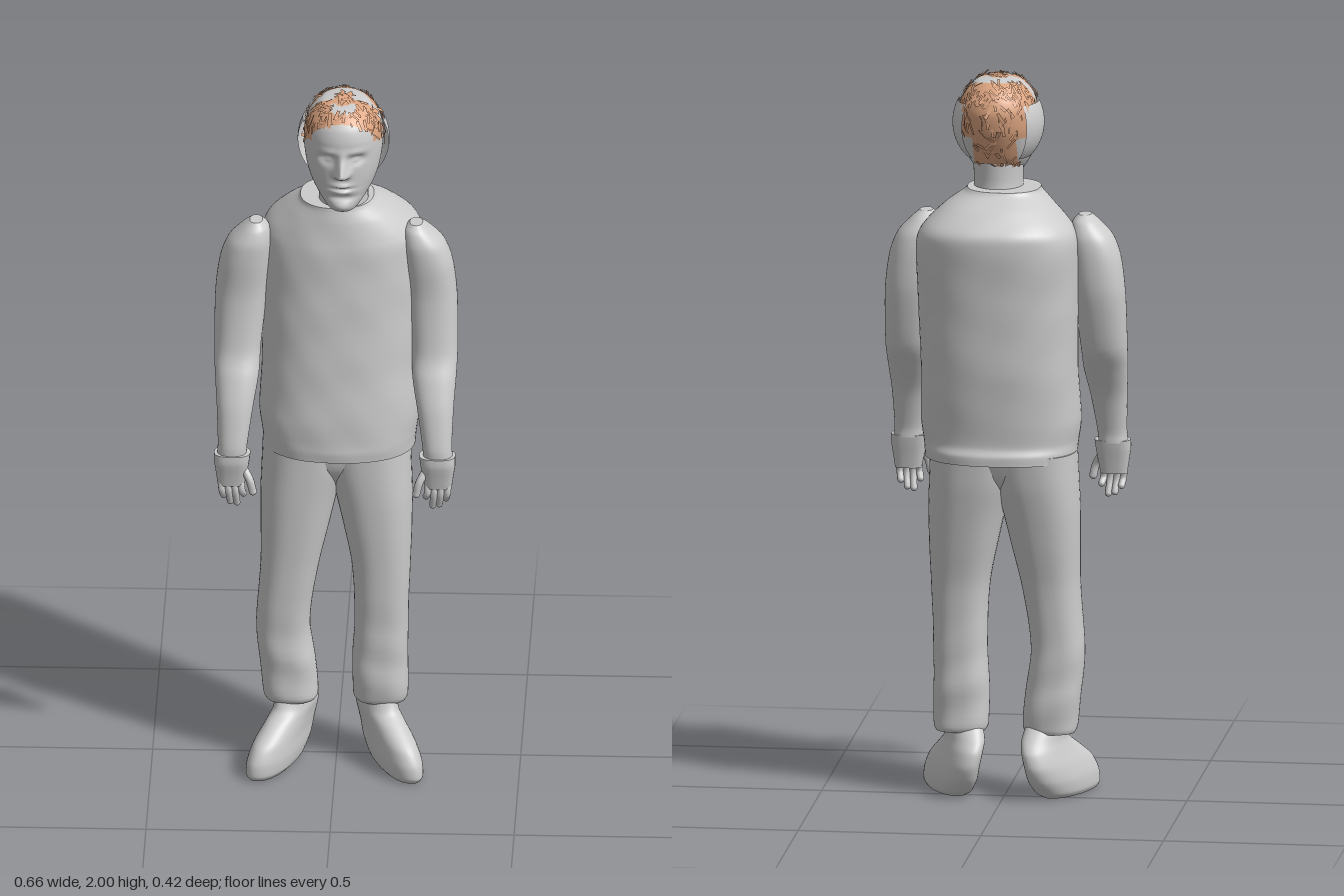
import * as THREE from 'three';
import { mergeGeometries } from 'three/addons/utils/BufferGeometryUtils.js';

// Smooth closed loft through rows of [y, xMin, xMax, zMin, zMax], bottom to top
function loft(rows, { steps = 40, sides = 48, power = 2, deform } = {}) {
  const xs = new THREE.CatmullRomCurve3(rows.map(r => new THREE.Vector3(r[1], r[0], r[2])), false, 'catmullrom', 0.4);
  const zs = new THREE.CatmullRomCurve3(rows.map(r => new THREE.Vector3(r[3], r[0], r[4])), false, 'catmullrom', 0.4);
  const pos = [], index = [];
  const bend = v => Math.sign(v) * Math.abs(v) ** (2 / power);
  const ring = t => {
    const a = xs.getPoint(t), b = zs.getPoint(t);
    for (let j = 0; j < sides; j++) {
      const q = j / sides * Math.PI * 2;
      const p = new THREE.Vector3((a.x + a.z) / 2 + (a.z - a.x) / 2 * bend(Math.cos(q)), a.y,
        (b.x + b.z) / 2 + (b.z - b.x) / 2 * bend(Math.sin(q)));
      if (deform) deform(p);
      pos.push(p.x, p.y, p.z);
    }
  };
  for (let i = 0; i <= steps; i++) ring(i / steps);
  for (let i = 0; i < steps; i++) for (let j = 0; j < sides; j++) {
    const n = (j + 1) % sides, a = i * sides + j, b = i * sides + n;
    index.push(a, a + sides, b, b, a + sides, b + sides);
  }
  // End caps with their own vertices, so the rims stay sharp
  for (const end of [0, 1]) {
    const start = pos.length / 3, c = new THREE.Vector3();
    ring(end);
    for (let j = 0; j < sides; j++) c.add(new THREE.Vector3().fromArray(pos, (start + j) * 3));
    c.divideScalar(sides);
    pos.push(c.x, c.y, c.z);
    for (let j = 0; j < sides; j++) {
      const a = start + j, b = start + (j + 1) % sides;
      index.push(start + sides, end ? b : a, end ? a : b);
    }
  }
  const g = new THREE.BufferGeometry();
  g.setAttribute('position', new THREE.Float32BufferAttribute(pos, 3));
  g.setIndex(index);
  g.computeVertexNormals();
  return g;
}

// Sorts faces into two material groups: those failing the test, then those passing it
function splitFaces(g, test) {
  const p = g.attributes.position, idx = g.index.array, parts = [[], []], c = new THREE.Vector3(), v = new THREE.Vector3();
  for (let i = 0; i < idx.length; i += 3) {
    c.set(0, 0, 0);
    for (let k = 0; k < 3; k++) c.addScaledVector(v.fromBufferAttribute(p, idx[i + k]), 1 / 3);
    parts[test(c) ? 1 : 0].push(idx[i], idx[i + 1], idx[i + 2]);
  }
  g.setIndex([...parts[0], ...parts[1]]);
  g.addGroup(0, parts[0].length, 0);
  g.addGroup(parts[0].length, parts[1].length, 1);
  return g;
}

const mirrored = (rows, s) => s > 0 ? rows : rows.map(([y, a, b, c, d]) => [y, -b, -a, c, d]);
const bump = (v, centre, width) => Math.exp(-(((v - centre) / width) ** 2));

export function createModel() {
  const model = new THREE.Group();
  const grey = new THREE.MeshStandardMaterial({ color: 0xcccccc, side: THREE.DoubleSide });
  grey.name = 'plain grey';
  const brown = new THREE.MeshStandardMaterial({ color: 0xdca480, side: THREE.DoubleSide });
  brown.name = 'hair brown';
  const add = (name, geometry, material = grey, parent = model) => {
    const m = new THREE.Mesh(geometry, material);
    m.name = name;
    parent.add(m);
    return m;
  };

  // Pullover with sloping yoke, upright collar and loose hem
  add('torso', loft([
    [0.95, -0.2, 0.215, -0.165, 0.165], [0.975, -0.2, 0.217, -0.166, 0.168], [1.0, -0.203, 0.22, -0.157, 0.167],
    [1.06, -0.21, 0.227, -0.162, 0.165], [1.2, -0.203, 0.225, -0.18, 0.155], [1.4, -0.205, 0.232, -0.193, 0.142],
    [1.55, -0.205, 0.235, -0.208, 0.135], [1.6, -0.188, 0.214, -0.203, 0.13], [1.65, -0.14, 0.162, -0.15, 0.124],
    [1.682, -0.105, 0.114, -0.097, 0.117], [1.695, -0.098, 0.102, -0.085, 0.115]],
  { steps: 70, sides: 64, power: 2.3, deform: p => {
    p.z += 0.0015 * Math.sign(p.z) * Math.sin(p.y * 38 + p.x * 17) * Math.sin(p.x * 29 + p.z * 21);
  } }));
  add('hips', loft([[0.81, -0.015, 0.015, -0.04, 0.05], [0.85, -0.05, 0.05, -0.07, 0.08],
    [0.9, -0.11, 0.11, -0.11, 0.11], [0.97, -0.195, 0.197, -0.138, 0.125]], { power: 2.4, steps: 16 }));

  for (const s of [1, -1]) {
    const side = s > 0 ? 'left' : 'right';

    add(side + 'TrouserLeg', loft(mirrored([
      [0.18, 0.055, 0.19, -0.04, 0.075], [0.2, 0.047, 0.197, -0.046, 0.083], [0.3, 0.05, 0.202, -0.05, 0.088],
      [0.4, 0.06, 0.207, -0.05, 0.09], [0.5, 0.055, 0.205, -0.055, 0.098], [0.6, 0.042, 0.204, -0.066, 0.105],
      [0.7, 0.02, 0.206, -0.088, 0.113], [0.8, -0.003, 0.207, -0.11, 0.12], [0.88, -0.025, 0.204, -0.127, 0.124],
      [0.97, -0.04, 0.2, -0.14, 0.127]], s),
    { power: 2.4, deform: p => {
      p.x -= 0.011 * bump(p.y, 0.4, 0.15);
      p.z += 0.003 * Math.sin(p.y * 50 + p.x * 15) * bump(p.y, 0.25, 0.15);
    } }));

    // Shoe, toed out by shearing
    add(side + 'Shoe', loft(mirrored([
      [0, 0.105, 0.2, -0.02, 0.19], [0.015, 0.092, 0.208, -0.045, 0.2], [0.05, 0.084, 0.208, -0.075, 0.198],
      [0.09, 0.082, 0.198, -0.09, 0.178], [0.13, 0.076, 0.182, -0.085, 0.13], [0.16, 0.07, 0.172, -0.065, 0.09],
      [0.2, 0.073, 0.17, -0.035, 0.07]], s),
    { power: 2.2, deform: p => { p.x += s * 0.38 * (p.z - 0.04); } }));

    add(side + 'Sleeve', loft(mirrored([
      [0.965, 0.24, 0.32, 0.103, 0.175], [1.0, 0.237, 0.318, 0.1, 0.174], [1.1, 0.222, 0.322, 0.07, 0.155],
      [1.18, 0.208, 0.328, 0.028, 0.128], [1.25, 0.204, 0.331, -0.01, 0.1], [1.4, 0.188, 0.329, -0.045, 0.087],
      [1.5, 0.178, 0.317, -0.05, 0.094], [1.56, 0.175, 0.295, -0.044, 0.094], [1.6, 0.183, 0.258, -0.022, 0.08],
      [1.62, 0.2, 0.235, 0.005, 0.06]], s), { power: 2.2 }));

    // Hand: square cuff, palm, four fingers and thumb
    const hand = new THREE.Group();
    hand.name = side + 'Hand';
    model.add(hand);
    add('palm', loft(mirrored([[0.875, 0.245, 0.318, 0.125, 0.165], [0.91, 0.238, 0.323, 0.118, 0.172],
      [0.945, 0.232, 0.328, 0.11, 0.18], [0.97, 0.229, 0.328, 0.105, 0.18]], s), { steps: 10, sides: 24, power: 2.6 }), grey, hand);
    const digit = (name, from, mid, to, r) => {
      const path = new THREE.CatmullRomCurve3([from, mid, to].map(([x, y, z]) => new THREE.Vector3(s * x, y, z)));
      add(name, new THREE.TubeGeometry(path, 8, r, 10), grey, hand);
      add(name + 'Tip', new THREE.SphereGeometry(r, 10, 8), grey, hand).position.set(s * to[0], to[1], to[2]);
    };
    [0.845, 0.818, 0.822, 0.84].forEach((tip, i) => {
      const x = 0.255 + i * 0.018;
      digit('finger' + (i + 1), [x, 0.9, 0.147], [x - 0.003, 0.86, 0.155], [x - 0.007, tip, 0.142], 0.0095);
    });
    digit('thumb', [0.25, 0.93, 0.15], [0.23, 0.895, 0.165], [0.222, 0.862, 0.165], 0.011);
  }

  // Hair region: fringe above the forehead, temples, back of the head, nape and a crown patch
  const cx = 0.02;
  const isHair = ({ x, y, z }) => {
    const dx = x - cx, w = Math.abs(dx);
    if (y > 1.96 && Math.hypot(dx / 0.026, (z - 0.05) / 0.036) < 1) return true;
    if (z > 0.05) {
      const bare = y > 1.96 && z > 0.072 && Math.hypot(dx, z - 0.09) < 0.036;
      return !bare && (Math.hypot(dx / 0.1, (y - 1.87) / 0.092) > 1 && y > 1.89 || w > 0.084 && y > 1.9);
    }
    if (z > 0.02 || Math.hypot(dx, z - 0.05) < 0.08) return false;
    return y > 1.84 || (w < 0.06 && y > 1.75 && z < -0.01);
  };

  // Head: skull with a sculpted face
  add('neck', loft([[1.64, -0.055, 0.095, -0.06, 0.11], [1.7, -0.047, 0.087, -0.04, 0.11],
    [1.8, -0.05, 0.09, -0.045, 0.1]], { steps: 8 }));
  const headGeometry = loft([
    [1.7, -0.005, 0.045, 0.085, 0.145], [1.71, -0.022, 0.062, 0.045, 0.16], [1.735, -0.044, 0.084, -0.01, 0.163],
    [1.77, -0.065, 0.105, -0.045, 0.162], [1.81, -0.079, 0.119, -0.068, 0.163], [1.86, -0.087, 0.127, -0.09, 0.164],
    [1.91, -0.086, 0.126, -0.098, 0.166], [1.945, -0.076, 0.116, -0.088, 0.157], [1.97, -0.058, 0.098, -0.067, 0.138],
    [1.987, -0.035, 0.075, -0.038, 0.11], [1.995, 0.01, 0.03, 0.02, 0.05]],
  { steps: 90, sides: 128, power: 2.1, deform: p => {
    if (p.z < 0.06) return;
    const x = Math.abs(p.x - cx), y = p.y;
    const ridge = y > 1.825 ? bump(y, 1.825, 0.038) : bump(y, 1.825, 0.011);
    p.z += 0.046 * ridge * bump(x, 0, 0.012 + 0.004 * bump(y, 1.822, 0.02)); // nose
    p.z += 0.012 * bump(x, 0.015, 0.009) * bump(y, 1.819, 0.01);  // nostrils
    p.z -= 0.017 * bump(x, 0.04, 0.02) * bump(y, 1.862, 0.013);   // eye sockets
    p.z += 0.01 * bump(x, 0.038, 0.013) * bump(y, 1.86, 0.007);   // eyelids
    p.z += 0.005 * bump(x, 0.035, 0.03) * bump(y, 1.884, 0.009);  // brows
    p.z += 0.009 * bump(x, 0, 0.024) * (bump(y, 1.785, 0.007) + bump(y, 1.767, 0.007)); // lips
    p.z -= 0.006 * bump(x, 0, 0.03) * bump(y, 1.776, 0.003);      // mouth
    p.z -= 0.007 * bump(x, 0, 0.04) * bump(y, 1.748, 0.009);      // chin crease
    p.z += 0.007 * bump(x, 0, 0.03) * bump(y, 1.722, 0.013);      // chin
  } });
  add('head', splitFaces(headGeometry, isHair), [grey, brown]);

  // Plain caps over the ears
  const deg = Math.PI / 180;
  for (const phi of [-45, 170]) {
    const g = new THREE.SphereGeometry(1, 32, 16, phi * deg, 55 * deg, 62 * deg, 72 * deg);
    add('sideCap', g.scale(0.125, 0.13, 0.13)).position.set(cx, 1.87, 0.03);
  }

  // Loose strands: thin slivers lying at odd angles just above the hair
  let seed = 7;
  const rand = () => (seed = (seed * 16807) % 2147483647) / 2147483647;
  const { position, normal } = headGeometry.attributes;
  const strands = [], spot = new THREE.Vector3(), out = new THREE.Vector3();
  while (strands.length < 260) {
    const i = Math.floor(rand() * position.count);
    if (!isHair(spot.fromBufferAttribute(position, i))) continue;
    out.fromBufferAttribute(normal, i);
    const o = new THREE.Object3D();
    o.position.copy(spot).addScaledVector(out, 0.004);
    o.lookAt(out.add(o.position));
    o.rotateZ((rand() - 0.5) * 1.8);
    o.rotateX((rand() - 0.5) * 0.5);
    o.updateMatrix();
    strands.push(new THREE.PlaneGeometry(0.004 + 0.006 * rand(), 0.02 + 0.018 * rand()).applyMatrix4(o.matrix));
  }
  add('hairStrands', mergeGeometries(strands), brown);

  return model;
}
